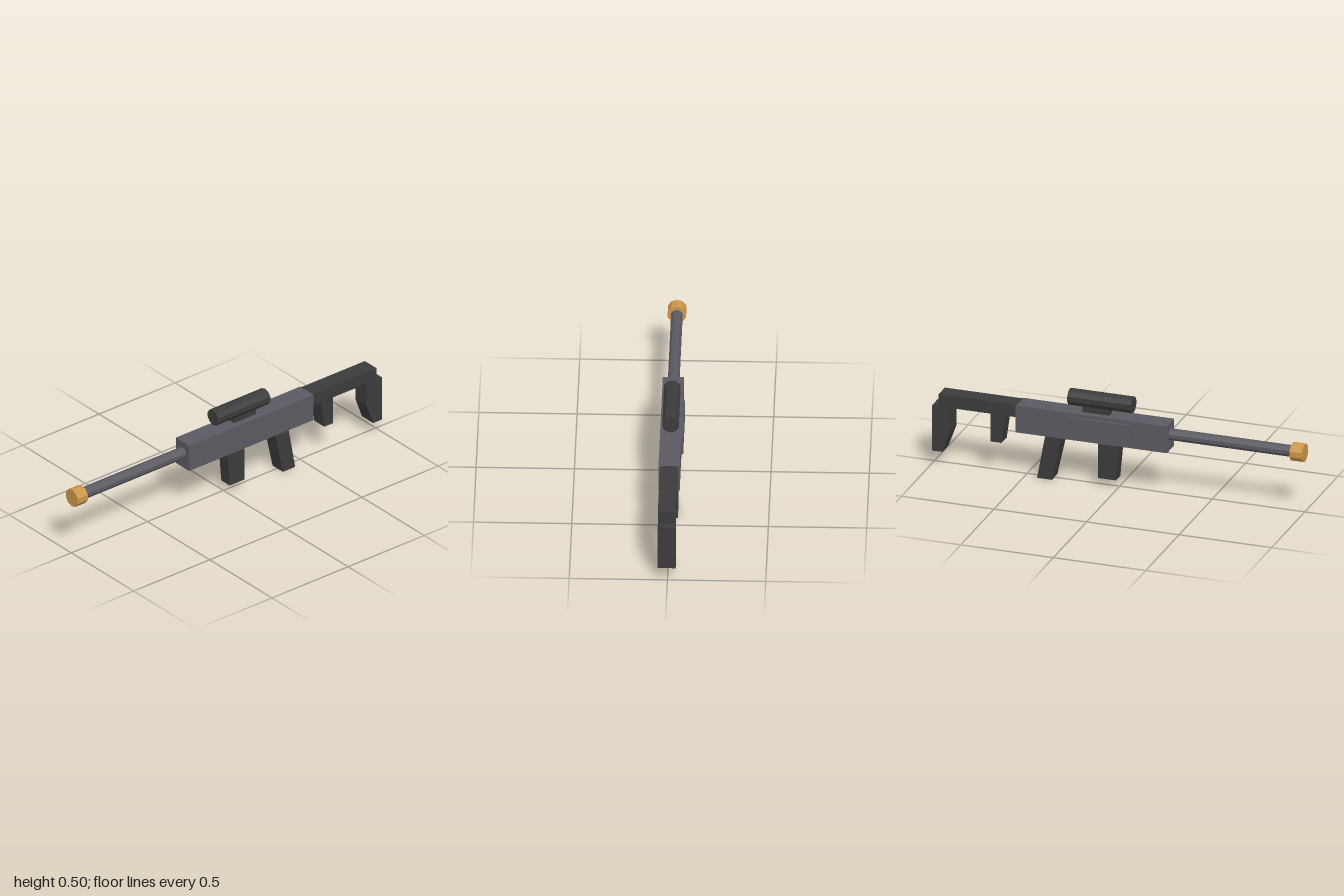
import * as THREE from 'three';

const CX = 0.004; // shared centre line

export function createModel() {
  const group = new THREE.Group();
  const mat = (name, color) => {
    const m = new THREE.MeshStandardMaterial({ color, flatShading: true });
    m.name = name;
    return m;
  };
  const steel = mat('steel grey', 0x5b5a62);
  const dark = mat('dark grey', 0x3b3b3b);
  const brass = mat('brass', 0xcd974a);

  const add = (name, geometry, material) => {
    const mesh = new THREE.Mesh(geometry, material);
    mesh.name = name;
    group.add(mesh);
    return mesh;
  };

  // Box from its extents
  const box = (name, material, [x0, x1], [y0, y1], [z0, z1]) =>
    add(name, new THREE.BoxGeometry(x1 - x0, y1 - y0, z1 - z0), material)
      .position.set((x0 + x1) / 2, (y0 + y1) / 2, (z0 + z1) / 2);

  // Ten-sided tube along z
  const rod = (name, material, radius, y, z0, z1) =>
    add(name, new THREE.CylinderGeometry(radius, radius, z1 - z0, 10).rotateX(Math.PI / 2), material)
      .position.set(CX, y, (z0 + z1) / 2);

  // Side profile of [z, y] points, extruded across x
  const slab = (name, material, width, points) => {
    const shape = new THREE.Shape(points.map(([z, y]) => new THREE.Vector2(-z, y)));
    const geometry = new THREE.ExtrudeGeometry(shape, { depth: width, bevelEnabled: false });
    geometry.translate(0, 0, -width / 2).rotateY(Math.PI / 2);
    add(name, geometry, material).position.x = CX;
  };

  // Body and side plate
  box('receiver', steel, [-0.05, 0.058], [0.24, 0.388], [-0.545, 0.273]);
  box('sidePlate', steel, [-0.06, -0.045], [0.265, 0.368], [-0.25, 0.09]);

  // Barrel and muzzle
  rod('barrel', steel, 0.031, 0.324, 0.26, 0.94);
  rod('muzzle', brass, 0.049, 0.324, 0.933, 1.0);

  // Scope on its mount
  box('scopeMount', dark, [-0.016, 0.024], [0.385, 0.43], [-0.195, -0.05]);
  rod('scope', dark, 0.044, 0.457, -0.27, 0.073);

  // Magazine and grips
  slab('magazine', dark, 0.068, [[0.008, 0.245], [-0.01, 0.042], [-0.107, 0.042], [-0.107, 0.245]]);
  slab('pistolGrip', dark, 0.084, [[-0.299, 0.245], [-0.353, 0], [-0.433, 0], [-0.388, 0.245]]);
  slab('rearGrip', dark, 0.08, [[-0.604, 0.325], [-0.626, 0.164], [-0.684, 0.164], [-0.684, 0.325]]);

  // Stock
  box('stockBar', dark, [CX - 0.046, CX + 0.046], [0.32, 0.388], [-0.963, -0.54]);
  slab('buttPad', dark, 0.092, [[-0.9, 0.32], [-0.9, 0.19], [-0.943, 0.072], [-1, 0.072], [-1, 0.32]]);

  return group;
}
